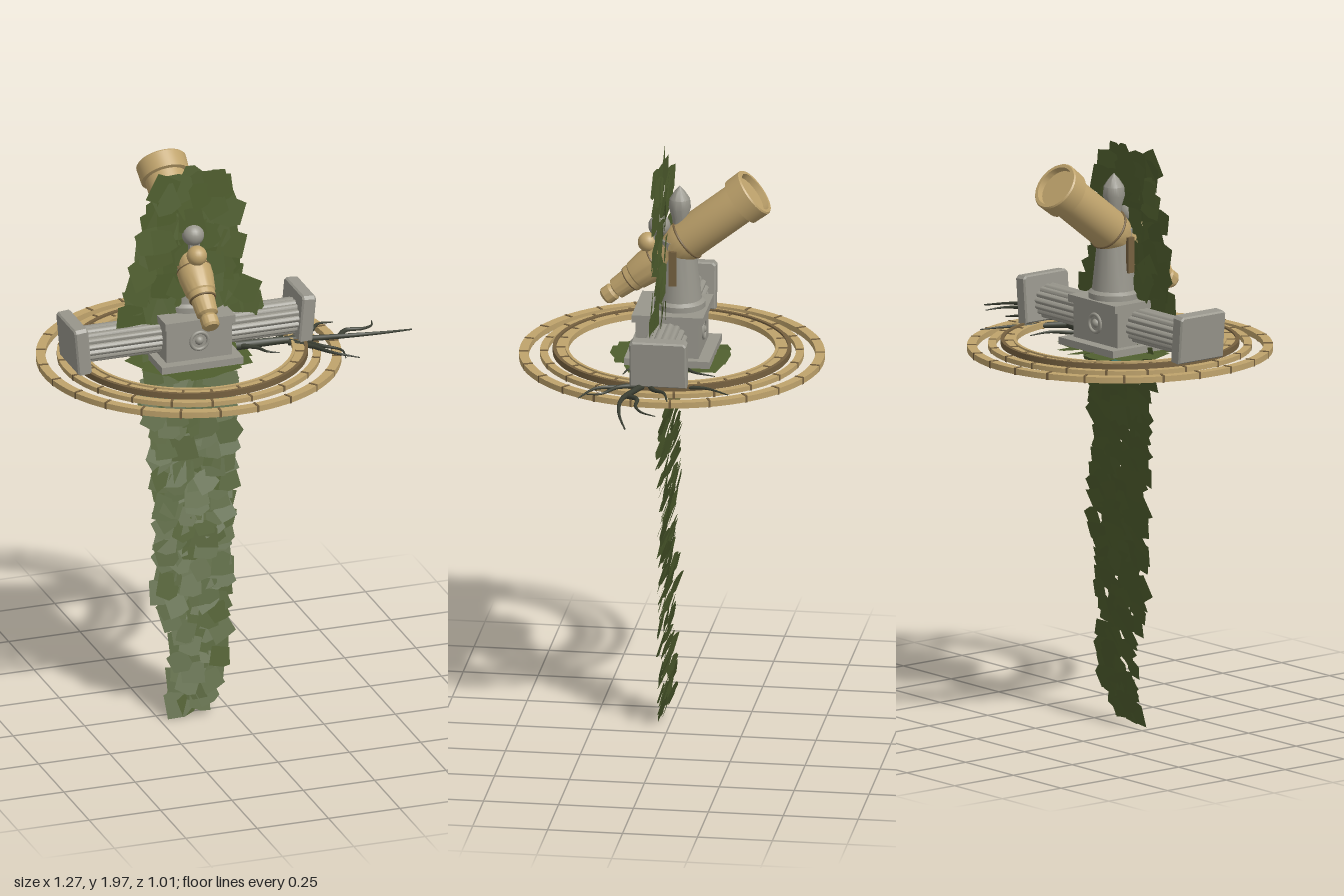
import * as THREE from 'three';
import { mergeGeometries, toCreasedNormals } from 'three/addons/utils/BufferGeometryUtils.js';

const CX = -0.135; // axis of the rings and the pedestal
const mat = (name, color, side = THREE.FrontSide) => {
  const m = new THREE.MeshStandardMaterial({ color, side });
  m.name = name;
  return m;
};

export function createModel() {
  const model = new THREE.Group();
  const stone = mat('grey stone', 0x98968c);
  const gold = mat('pale gold', 0xbfa36c);
  const bronze = mat('dark bronze', 0x75603f);
  const leaf = mat('leaf green', 0x4f5e2e, THREE.DoubleSide);
  const vine = mat('dark vine', 0x3b3f33);
  const teal = mat('teal gem', 0x6fcfbd);

  let seed = 7;
  const rnd = (a = 0, b = 1) => {
    seed = (seed * 16807) % 2147483647;
    return a + (b - a) * seed / 2147483647;
  };
  const add = (name, geo, material, x = 0, y = 0, z = 0, parent = model) => {
    const m = new THREE.Mesh(geo, material);
    m.name = name;
    m.position.set(x, y, z);
    parent.add(m);
    return m;
  };
  const box = (name, w, h, d, material, x, y, z, parent) =>
    add(name, new THREE.BoxGeometry(w, h, d), material, x, y, z, parent);
  const lathe = (pts, seg = 32) => toCreasedNormals(
    new THREE.LatheGeometry(pts.map(p => new THREE.Vector2(...p)), seg), 0.5);

  // Flat concentric rings with bronze graduation marks
  const ring = (name, outer, inner, y, h, material, ticks) => {
    const s = new THREE.Shape().absarc(0, 0, outer, 0, Math.PI * 2);
    s.holes.push(new THREE.Path().absarc(0, 0, inner, 0, Math.PI * 2, true));
    const g = new THREE.ExtrudeGeometry(s, { depth: h, bevelEnabled: false, curveSegments: 64 });
    add(name, toCreasedNormals(g.rotateX(-Math.PI / 2), 0.5), material, CX, y, 0);
    if (!ticks) return;
    const marks = [];
    for (let i = 0; i < ticks; i++) {
      marks.push(new THREE.BoxGeometry(outer - inner, h + 0.004, 0.008)
        .translate((outer + inner) / 2, h / 2, 0).rotateY((i + 0.5) / ticks * Math.PI * 2));
    }
    add(name + 'Marks', mergeGeometries(marks), bronze, CX, y, 0);
  };
  ring('outerRing', 0.505, 0.474, 1.315, 0.02, gold, 24);
  ring('middleRing', 0.436, 0.41, 1.325, 0.016, gold, 20);
  ring('innerRing', 0.39, 0.345, 1.335, 0.014, gold, 24);
  ring('innerRingOuterRim', 0.394, 0.382, 1.335, 0.02, bronze);
  ring('innerRingInnerRim', 0.352, 0.342, 1.335, 0.02, gold);

  // Central stone block with slab, lip and a round boss on front and back
  box('baseSlab', 0.285, 0.024, 0.285, stone, CX, 1.343, -0.003);
  box('block', 0.23, 0.14, 0.21, stone, CX, 1.42, 0);
  box('blockLip', 0.245, 0.025, 0.238, stone, CX, 1.487, -0.002);
  for (const s of [-1, 1]) {
    add('bossRing', new THREE.TorusGeometry(0.03, 0.006, 8, 28), stone, CX, 1.42, s * 0.106);
    add('bossButton', new THREE.SphereGeometry(0.016, 16, 10), stone, CX, 1.42, s * 0.1);
  }

  // Fluted arms with splayed end plates
  const flute = new THREE.Shape();
  for (let i = 0; i <= 96; i++) {
    const a = i / 96 * Math.PI * 2;
    const r = 0.056 + 0.007 * Math.abs(Math.sin(a * 8));
    if (i) flute.lineTo(r * Math.cos(a), r * Math.sin(a));
    else flute.moveTo(r, 0);
  }
  const arm = (name, x0, x1) => {
    const g = new THREE.ExtrudeGeometry(flute, { depth: x1 - x0, bevelEnabled: false });
    add(name, toCreasedNormals(g.rotateY(Math.PI / 2).scale(1, 0.95, 1.1), 0.6), stone, x0, 1.418, 0);
  };
  arm('rightArm', -0.52, -0.24);
  arm('leftArm', -0.03, 0.235);
  for (const [name, x, z, tilt] of [['rightEndPlate', -0.539, 0.005, 0.09], ['leftEndPlate', 0.253, -0.012, -0.09]]) {
    const s = new THREE.Shape([[-0.095, -0.08], [0.095, -0.08], [0.095, 0.07], [0.085, 0.08], [-0.085, 0.08], [-0.095, 0.07]]
      .map(p => new THREE.Vector2(...p)));
    const g = new THREE.ExtrudeGeometry(s, { depth: 0.036, bevelSize: 0.005, bevelThickness: 0.006, bevelOffset: -0.005, bevelSegments: 1 });
    add(name, g.translate(0, 0, -0.018).rotateY(Math.PI / 2), stone, x, 1.432, z).rotation.z = tilt;
  }

  // Tapered pedestal with a finial
  add('pedestal', lathe([[0.085, 0], [0.085, 0.02], [0.073, 0.03], [0.055, 0.2], [0.062, 0.21], [0.062, 0.235],
    [0.04, 0.25], [0.022, 0.28], [0.026, 0.31], [0.037, 0.345], [0.034, 0.375], [0.018, 0.4], [0, 0.42]]),
    stone, CX, 1.498, -0.026);
  add('frontKnob', new THREE.SphereGeometry(0.037, 20, 14), stone, CX, 1.775, 0.042);
  box('knobStem', 0.035, 0.08, 0.03, stone, CX, 1.72, 0.045);
  for (const s of [-1, 1]) box('yokeStrip', 0.014, 0.12, 0.025, bronze, CX + s * 0.068, 1.65, -0.012);

  // Telescope, turned around its own axis from eyepiece to mouth
  const scope = new THREE.Group();
  scope.name = 'telescope';
  scope.position.set(CX, 1.515, 0.225);
  scope.rotation.x = -0.905;
  model.add(scope);
  add('telescopeTube', lathe([[0, 0], [0.024, 0], [0.03, 0.008], [0.03, 0.035], [0.024, 0.045], [0.036, 0.052],
    [0.04, 0.11], [0.046, 0.112], [0.046, 0.13], [0.05, 0.135], [0.058, 0.19], [0.058, 0.22], [0.05, 0.225], [0.05, 0.28],
    [0.064, 0.31], [0.07, 0.34], [0.07, 0.575], [0.083, 0.578], [0.085, 0.635], [0.081, 0.64], [0.07, 0.64],
    [0.067, 0.62], [0, 0.62]], 40), gold, 0, 0, 0, scope);
  for (const [r, t] of [[0.041, 0.11], [0.055, 0.222], [0.071, 0.35]]) {
    add('telescopeBand', new THREE.TorusGeometry(r, 0.004, 8, 32).rotateX(Math.PI / 2), bronze, 0, t, 0, scope);
  }
  add('sightBall', new THREE.SphereGeometry(0.034, 20, 14), gold, CX, 1.715, 0.08);

  // Gem under the block
  add('gem', new THREE.SphereGeometry(0.028, 12, 8).scale(1, 0.75, 1.9), teal, CX, 1.3, -0.005);

  // Irregular flat leaf, stood upright and leaning back
  const leafGeo = (size, lean, x, y, z) => {
    const corners = [[-1, -0.9], [0.2, -1.1], [1, -0.8], [0.9, 0.8], [-0.1, 1.05], [-0.95, 0.9]];
    const s = new THREE.Shape(corners.map(([a, b]) =>
      new THREE.Vector2((a + rnd(-0.2, 0.2)) * size, (b + rnd(-0.2, 0.2)) * size)));
    return new THREE.ShapeGeometry(s).rotateZ(rnd(-0.5, 0.5)).rotateY(rnd(-0.2, 0.2))
      .rotateX(-lean).translate(x, y, z);
  };
  // Curtain outline: height, right edge, left edge, depth
  const foliage = (name, rows, step, size, lean) => {
    const parts = [];
    for (let i = 0; i < rows.length - 1; i++) {
      const [a, b] = [rows[i], rows[i + 1]];
      const n = Math.max(1, Math.round((a[0] - b[0]) / step));
      for (let k = 0; k < n; k++) {
        const [y, l, r, z] = a.map((v, j) => v + (b[j] - v) * k / n);
        const inset = size * 0.95;
        const cols = Math.max(2, Math.ceil((r - l) / (size * 1.15)));
        for (let c = 0; c < cols; c++) {
          const x = l + inset + (r - l - 2 * inset) * c / (cols - 1) + rnd(-0.012, 0.012);
          parts.push(leafGeo(size * rnd(0.85, 1.1), lean + rnd(-0.1, 0.1), x, y - size + rnd(-0.01, 0.01), z + rnd(-0.017, 0.017)));
        }
      }
    }
    add(name, mergeGeometries(parts), leaf);
  };
  foliage('upperFoliage', [[2.0, -0.27, -0.01, 0.035], [1.92, -0.31, 0.03, 0.03], [1.76, -0.33, 0.04, 0.028],
    [1.64, -0.36, 0.06, 0.025], [1.55, -0.4, 0.13, 0.022], [1.5, -0.4, 0.19, 0.02]], 0.05, 0.046, 0.08);
  foliage('hangingFoliage', [[1.36, -0.3, 0.02, 0], [1.2, -0.3, 0.03, 0.005], [1.0, -0.27, 0.03, 0.005],
    [0.8, -0.255, 0.03, 0.008], [0.6, -0.255, 0.01, 0.01], [0.44, -0.25, 0, 0.012], [0.38, -0.21, 0, 0.014],
    [0.24, -0.21, 0, 0.016], [0.17, -0.21, -0.06, 0.016], [0.09, -0.22, -0.08, 0.015]], 0.042, 0.039, 0.3);

  // Flat fan of leaves under the slab
  const fan = [];
  for (let i = 0; i < 12; i++) {
    const a = i / 12 * Math.PI * 2;
    fan.push(leafGeo(0.058, Math.PI / 2, CX + 0.142 * Math.cos(a), 1.326 + rnd(-0.003, 0.003), 0.142 * Math.sin(a)));
  }
  add('leafFan', mergeGeometries(fan), leaf);

  // Tapering vines
  const tendril = (name, r0, pts) => {
    const curve = new THREE.CatmullRomCurve3(pts.map(p => new THREE.Vector3(...p)));
    const n = 28, g = new THREE.TubeGeometry(curve, n, 1, 8);
    const p = g.attributes.position, v = new THREE.Vector3();
    for (let i = 0; i < p.count; i++) {
      const t = Math.floor(i / 9) / n, c = curve.getPointAt(t);
      v.fromBufferAttribute(p, i).sub(c).multiplyScalar(r0 * (1 - 0.85 * t)).add(c);
      p.setXYZ(i, v.x, v.y, v.z);
    }
    add(name, g, vine);
  };
  tendril('mainVine', 0.017, [[0.02, 1.345, 0.02], [0.2, 1.345, 0.03], [0.3, 1.35, 0.06], [0.42, 1.355, 0.09], [0.53, 1.345, 0.08], [0.63, 1.327, 0.045]]);
  tendril('forkVine', 0.01, [[0.36, 1.35, 0.08], [0.4, 1.355, 0.04], [0.46, 1.35, 0.035], [0.5, 1.345, 0.01], [0.52, 1.34, -0.04]]);
  tendril('backVine', 0.012, [[0.17, 1.345, 0.02], [0.23, 1.345, -0.09], [0.25, 1.35, -0.17], [0.29, 1.345, -0.25]]);
  tendril('sideVine', 0.012, [[0.2, 1.345, 0.03], [0.29, 1.35, 0], [0.33, 1.355, -0.04], [0.39, 1.345, -0.06]]);
  tendril('frontVine', 0.012, [[0.2, 1.345, 0.05], [0.26, 1.345, 0.11], [0.3, 1.35, 0.19], [0.38, 1.34, 0.24]]);
  tendril('frontShortVine', 0.01, [[0.24, 1.345, 0.05], [0.28, 1.35, 0.12], [0.34, 1.345, 0.17], [0.335, 1.34, 0.23]]);
  tendril('innerBackVine', 0.01, [[0.02, 1.345, 0], [0.06, 1.35, -0.07], [0.1, 1.35, -0.11], [0.115, 1.345, -0.18]]);
  tendril('innerFrontVine', 0.01, [[0.03, 1.345, 0.02], [0.08, 1.35, 0.07], [0.1, 1.35, 0.11], [0.14, 1.345, 0.125]]);
  return model;
}
